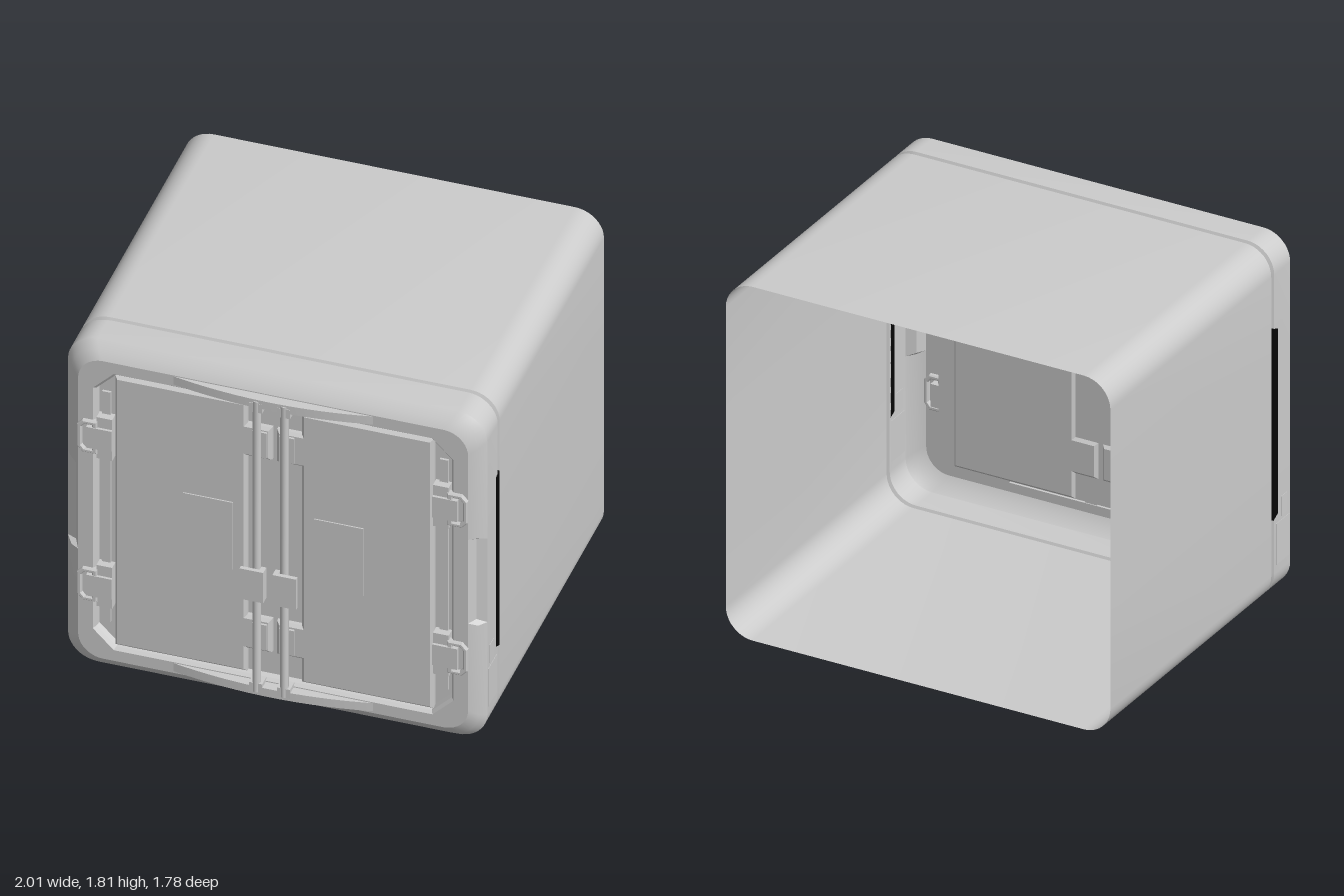
import * as THREE from 'three';
import { toCreasedNormals } from 'three/addons/utils/BufferGeometryUtils.js';

const CY = 0.905; // centre height
const FACE = 0.815; // front face depth
const FLOOR = 0.775; // floor of the door recess

const grey = new THREE.MeshStandardMaterial({ color: 0xcccccc });
const sheet = new THREE.MeshStandardMaterial({ color: 0xcccccc, side: THREE.DoubleSide });
const black = new THREE.MeshStandardMaterial({ color: 0x050505, side: THREE.DoubleSide });

function add(parent, name, geometry, material = grey) {
  const mesh = new THREE.Mesh(geometry, material);
  mesh.name = name;
  parent.add(mesh);
  return mesh;
}

// Box given by its limits on each axis
function span(x0, x1, y0, y1, z0, z1) {
  return new THREE.BoxGeometry(x1 - x0, y1 - y0, z1 - z0)
    .translate((x0 + x1) / 2, (y0 + y1) / 2, (z0 + z1) / 2);
}

const toShape = (pts) => new THREE.Shape(pts.map(([x, y]) => new THREE.Vector2(x, y)));

function extrude(shape, z0, z1, bevel = 0) {
  return new THREE.ExtrudeGeometry(shape, {
    depth: z1 - z0 - bevel, bevelEnabled: bevel > 0, bevelThickness: bevel,
    bevelSize: bevel, bevelOffset: -bevel, bevelSegments: 1, curveSegments: 24,
  }).translate(0, 0, z0);
}

// Counter-clockwise rounded rectangle with extra points along the sides
const GRIP = [0.66, 0.68, 1.13, 1.15];
function roundedLoop(inset) {
  const r = 0.14 - inset * 0.3, w = 1 - inset, h = CY - inset, pts = [];
  const corner = (sx, sy, start) => {
    for (let i = 0; i <= 10; i++) {
      const a = start + (i / 10) * Math.PI / 2;
      pts.push([sx * (w - r) + r * Math.cos(a), CY + sy * (h - r) + r * Math.sin(a)]);
    }
  };
  GRIP.forEach((y) => pts.push([w, y]));
  corner(1, 1, 0);
  corner(-1, 1, Math.PI / 2);
  [...GRIP].reverse().forEach((y) => pts.push([-w, y]));
  corner(-1, -1, Math.PI);
  corner(1, -1, Math.PI * 1.5);
  return pts;
}

// Octagonal door opening
function octagon(inset) {
  const w = 0.86 - inset, b = 0.13 + inset, t = 1.68 - inset, c = 0.1 - inset * 0.4;
  return [[w, b + c], [w, t - c], [w - c, t], [c - w, t], [-w, t - c], [-w, b + c], [c - w, b], [w - c, b]];
}

// Skin between successive closed loops of [x, y, z]
function loft(loops, crease = 0.5) {
  const n = loops[0].length, index = [];
  for (let k = 0; k < loops.length - 1; k++) {
    for (let i = 0; i < n; i++) {
      const j = (i + 1) % n, a = k * n + i, b = k * n + j;
      index.push(a, b, b + n, a, b + n, a + n);
    }
  }
  const g = new THREE.BufferGeometry();
  g.setAttribute('position', new THREE.Float32BufferAttribute(loops.flat(2), 3));
  g.setIndex(index);
  return toCreasedNormals(g, crease);
}

export function createModel() {
  const model = new THREE.Group();
  model.name = 'container';

  // Open-backed shell with a seam groove and a chamfered front rim
  const profile = [
    [0, -0.89], [0, 0.577], [0.012, 0.584], [0.012, 0.597], [0, 0.604],
    [0, 0.75], [0.03, 0.79], [0.07, FACE],
  ];
  const rings = profile.map(([inset, z]) => roundedLoop(inset).map(([x, y]) => {
    const grip = inset === 0.03 && y > 0.67 && y < 1.14 && Math.abs(x) > 0.9;
    return grip ? [x - Math.sign(x) * 0.015, y, z - 0.02] : [x, y, z];
  }));
  add(model, 'shell', loft(rings), sheet);

  // Front face around the octagonal opening, with its recess
  const face = toShape(roundedLoop(0.07));
  face.holes.push(toShape(octagon(0)));
  add(model, 'frontFace', new THREE.ShapeGeometry(face).translate(0, 0, FACE), sheet);
  const recess = [[0.018, FLOOR], [0.012, 0.8], [0, FACE]].reverse()
    .map(([inset, z]) => octagon(inset).map(([x, y]) => [x, y, z]));
  add(model, 'recessWall', loft(recess, 0.1), sheet);
  add(model, 'recessFloor', new THREE.ShapeGeometry(toShape(octagon(0.018))).translate(0, 0, FLOOR), sheet);

  for (const s of [1, -1]) {
    const side = new THREE.Group();
    side.name = s > 0 ? 'leftSide' : 'rightSide';
    model.add(side);
    const mx = (pts) => {
      const out = pts.map(([x, y]) => [s * x, y]);
      return s > 0 ? out : out.reverse();
    };
    const box = (name, x0, x1, ...rest) =>
      add(side, name, span(Math.min(s * x0, s * x1), Math.max(s * x0, s * x1), ...rest));

    // Door leaf with notches along the middle
    add(side, 'door', extrude(toShape(mx([
      [0.76, 0.15], [0.76, 1.66], [0.13, 1.66], [0.13, 1.54], [0.012, 1.54], [0.012, 1.36], [0.13, 1.36],
      [0.13, 0.465], [0.012, 0.465], [0.012, 0.28], [0.13, 0.28], [0.13, 0.15],
    ])), FLOOR, 0.807, 0.014));
    box('doorPlacard', 0.195, 0.43, 0.71, 1.09, 0.8, 0.813);
    box('hingeStrip', 0.785, 0.825, 0.26, 1.55, FLOOR - 0.002, 0.787);

    // Hinges: leaf, knuckle and chamfered loop
    for (const y of [1.31, 0.48]) {
      box('hingeLeaf', 0.765, 0.84, y - 0.115, y + 0.115, FLOOR, 0.822);
      box('hingeKnuckle', 0.765, 0.885, y - 0.058, y + 0.058, FLOOR, 0.835);
      const loop = toShape(mx([
        [0.835, y - 0.09], [0.905, y - 0.09], [0.932, y - 0.06],
        [0.932, y + 0.06], [0.905, y + 0.09], [0.835, y + 0.09],
      ]));
      loop.holes.push(toShape(mx([
        [0.86, y - 0.068], [0.895, y - 0.068], [0.91, y - 0.05],
        [0.91, y + 0.05], [0.895, y + 0.068], [0.86, y + 0.068],
      ])));
      add(side, 'hingeLoop', extrude(loop, 0.8, 0.832, 0.006));
    }

    // Locking rod with end clips, guides and handle
    const rod = new THREE.CylinderGeometry(0.02, 0.02, 1.63, 12).translate(s * 0.066, 0.91, 0.85);
    add(side, 'lockingRod', toCreasedNormals(rod, 0.8));
    for (const y of [0.12, 1.69]) box('rodClip', 0.035, 0.098, y - 0.025, y + 0.025, FACE - 0.01, 0.866);
    for (const y of [0.372, 1.45]) box('rodGuide', 0.03, 0.1, y - 0.07, y + 0.07, 0.79, 0.818);
    box('handlePlate', 0.022, 0.135, 0.62, 0.79, 0.87, 0.89);
    box('handleStem', 0.022, 0.045, 0.62, 0.79, 0.845, 0.875);

    // Dark slot beside the seam
    const slot = extrude(toShape([[-0.63, 0.44], [-0.59, 0.42], [-0.59, 1.4], [-0.63, 1.385]]), -0.008, 0.008);
    slot.rotateY(Math.PI / 2).translate(s * 0.996, 0, 0);
    add(side, 'sideSlot', slot, black);

    // Thin plates low on the side of the front rim
    box('rimPlate', 0.998, 1.002, 0.18, 0.39, 0.62, 0.74);
    box('rimLabel', 0.998, 1.002, 0.41, 0.51, 0.665, 0.72);
  }

  // Bowed bumpers above and below the doors
  const bow = new THREE.Shape();
  bow.moveTo(-0.49, 0.8);
  bow.lineTo(0.49, 0.8);
  bow.lineTo(0.49, 0.812);
  bow.quadraticCurveTo(0, 0.918, -0.49, 0.812);
  for (const [name, y] of [['topBumper', 1.735], ['bottomBumper', 0.125]]) {
    const g = extrude(bow, 0, 0.045).rotateX(Math.PI / 2);
    add(model, name, toCreasedNormals(g.translate(0, y, 0), 0.5));
  }

  return model;
}
